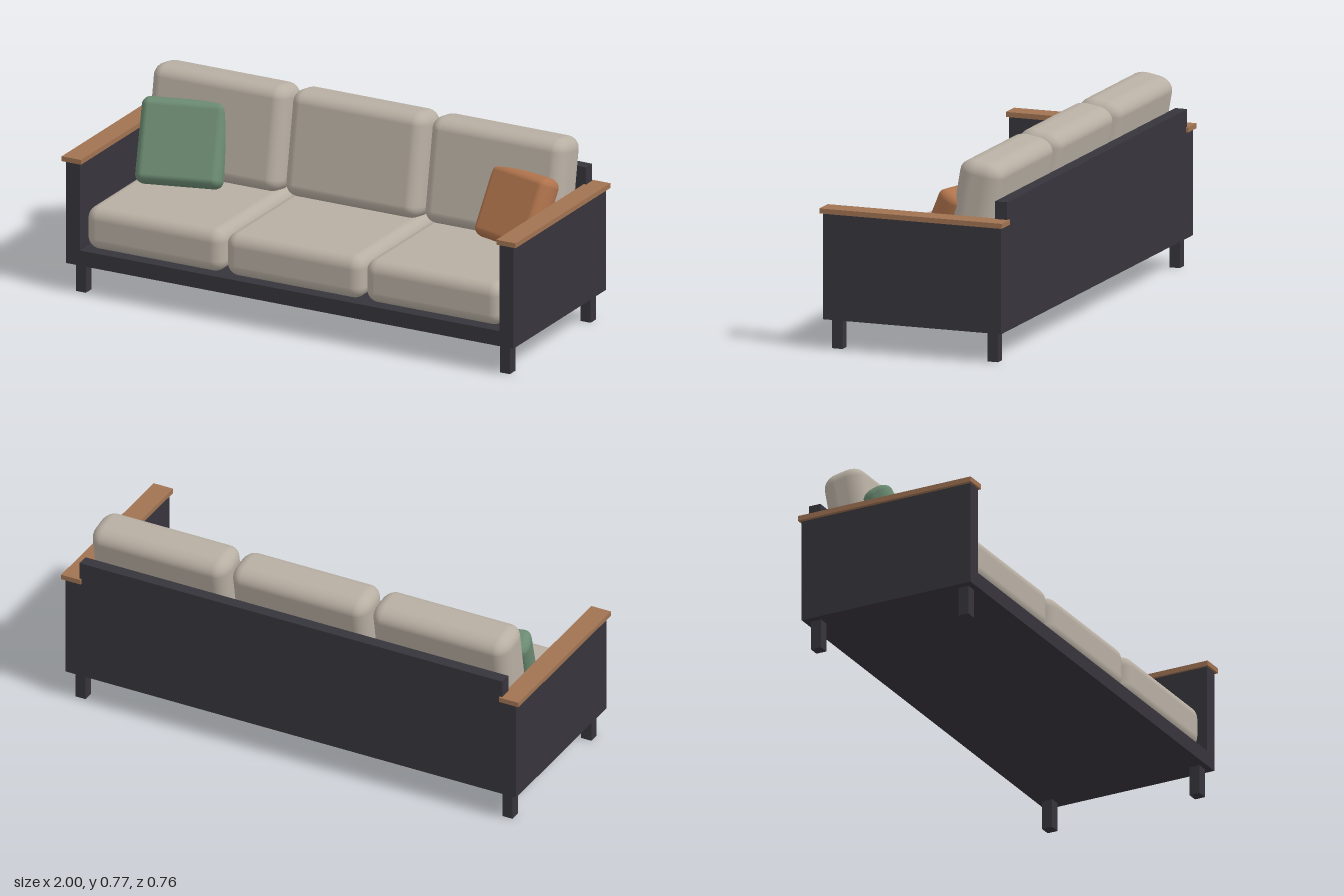
import * as THREE from 'three';
import { RoundedBoxGeometry } from 'three/addons/geometries/RoundedBoxGeometry.js';

const mat = (name, color) => {
  const m = new THREE.MeshStandardMaterial({ color });
  m.name = name;
  return m;
};

export function createModel() {
  const frame = mat('charcoal frame', 0x37353c);
  const wood = mat('oak', 0xa07352);
  const fabric = mat('linen', 0xb8afa3);
  const green = mat('sage fabric', 0x6b8a72);
  const rust = mat('rust fabric', 0xb0734c);

  const sofa = new THREE.Group();
  sofa.name = 'sofa';

  // Box given by its min and max corners
  const box = (name, material, [x0, y0, z0], [x1, y1, z1]) => {
    const mesh = new THREE.Mesh(new THREE.BoxGeometry(x1 - x0, y1 - y0, z1 - z0), material);
    mesh.position.set((x0 + x1) / 2, (y0 + y1) / 2, (z0 + z1) / 2);
    mesh.name = name;
    sofa.add(mesh);
  };

  // Soft cushion: rounded box whose rounding is deepened along one axis
  const cushion = (name, material, [w, h, d], r, stretch, pos, tilt = 0, yaw = 0) => {
    const geo = new RoundedBoxGeometry(w, h, d / stretch, 6, r);
    geo.scale(1, 1, stretch);
    const mesh = new THREE.Mesh(geo, material);
    mesh.position.set(...pos);
    mesh.rotation.set(-tilt, yaw, 0, 'YXZ');
    mesh.name = name;
    sofa.add(mesh);
  };

  // Frame
  box('base', frame, [-0.925, 0.118, -0.322], [0.925, 0.18, 0.371]);
  box('backPanel', frame, [-0.925, 0.118, -0.371], [0.925, 0.628, -0.322]);

  // Arms, arm caps and legs
  for (const [side, s] of [['left', 1], ['right', -1]]) {
    const span = (a, b) => (s > 0 ? [a, b] : [-b, -a]);
    const [a0, a1] = span(0.925, 0.985);
    box(side + 'Arm', frame, [a0, 0.118, -0.371], [a1, 0.538, 0.371]);
    const [c0, c1] = span(0.915, 1);
    box(side + 'ArmCap', wood, [c0, 0.538, -0.38], [c1, 0.558, 0.38]);
    const [l0, l1] = span(0.912, 0.956);
    box(side + 'FrontLeg', frame, [l0, 0, 0.302], [l1, 0.118, 0.346]);
    box(side + 'BackLeg', frame, [l0, 0, -0.346], [l1, 0.118, -0.302]);
  }

  // Seat and back cushions
  for (const i of [-1, 0, 1]) {
    const x = i * 0.614;
    cushion('seatCushion', fabric, [0.604, 0.176, 0.676], 0.05, 1, [x, 0.268, 0.016]);
    cushion('backCushion', fabric, [0.596, 0.425, 0.18], 0.052, 1.3, [x, 0.56, -0.215], 0.175);
  }

  // Throw pillows leaning back and turned inward
  cushion('greenPillow', green, [0.345, 0.34, 0.12], 0.035, 1.5, [-0.72, 0.513, -0.082], 0.43, 0.27);
  cushion('rustPillow', rust, [0.305, 0.3, 0.11], 0.035, 1.5, [0.742, 0.502, -0.1], 0.43, -0.28);

  return sofa;
}
